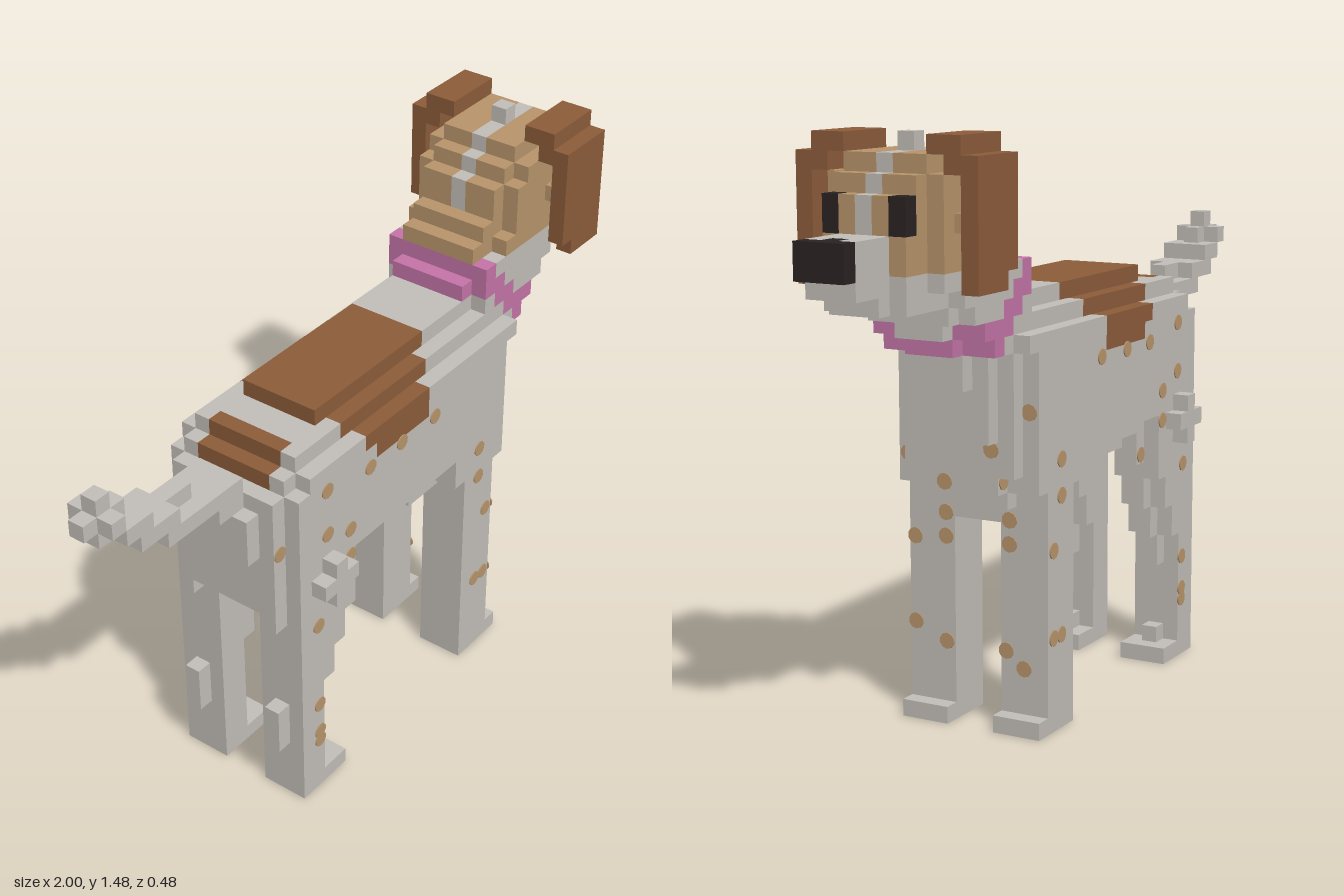
import * as THREE from 'three';

const V = 2 / 46; // size of one cube; the grid is 46 long, 34 high and 11 wide
const mat = (name, color) => {
  const m = new THREE.MeshStandardMaterial({ color });
  m.name = name;
  return m;
};

export function createModel() {
  const group = new THREE.Group();
  group.name = 'dog';
  const mats = {
    coat: mat('pale grey coat', 0xc2beb8),
    brown: mat('brown fur', 0x8c5c3a),
    tan: mat('tan fur', 0xb8956b),
    pink: mat('pink collar', 0xc474a8),
    black: mat('black nose and eyes', 0x2a2222),
  };

  // Cube grid: each filled cell keeps its part and colour
  const cells = new Map();
  const key = (x, y, z) => x + ',' + y + ',' + z;
  const fill = (part, color, x0, x1, y0, y1, z0, z1) => {
    for (let x = x0; x <= x1; x++)
      for (let y = y0; y <= y1; y++)
        for (let z = z0; z <= z1; z++) cells.set(key(x, y, z), { part, color, x, y, z });
  };
  const mid = (part, color, x0, x1, y0, y1, h) => fill(part, color, x0, x1, y0, y1, -h, h);
  const pair = (part, color, x0, x1, y0, y1, z0, z1) => {
    fill(part, color, x0, x1, y0, y1, z0, z1);
    fill(part, color, x0, x1, y0, y1, -z1, -z0);
  };
  const paint = (color, test, part) => {
    for (const c of cells.values())
      if (test(c)) {
        c.color = color;
        if (part) c.part = part;
      }
  };

  // Tail: x range, y range, half width
  [[0, 0, 25, 25, 0], [1, 1, 25, 25, 1], [1, 1, 24, 26, 0], [2, 2, 24, 24, 1], [2, 2, 25, 25, 0],
    [3, 3, 23, 24, 1], [4, 7, 23, 23, 0], [4, 5, 23, 23, 1], [5, 10, 22, 22, 1], [9, 11, 21, 21, 1]]
    .forEach(([a, b, c, d, h]) => mid('tail', 'coat', a, b, c, d, h));

  // Trunk and chest, stacked from the breastbone up
  [[26, 30, 12, 12, 1], [25, 31, 13, 13, 2], [17, 32, 14, 14, 2], [12, 32, 15, 15, 3],
    [12, 31, 16, 21, 4], [32, 32, 15, 22, 3], [11, 11, 14, 21, 3], [10, 10, 18, 20, 2],
    [33, 33, 17, 21, 2], [34, 34, 20, 21, 1], [13, 32, 22, 22, 4], [12, 12, 22, 22, 3],
    [13, 32, 23, 23, 3], [16, 31, 24, 24, 2]]
    .forEach(([a, b, c, d, h]) => mid('body', 'coat', a, b, c, d, h));

  // Neck, stepping forward as it rises
  [[31, 34, 22, 22, 3], [35, 35, 22, 22, 1], [31, 35, 23, 23, 3], [36, 36, 23, 23, 1],
    [31, 36, 24, 24, 3], [37, 37, 24, 24, 2], [31, 37, 25, 25, 3], [38, 38, 25, 25, 2],
    [30, 30, 25, 25, 2], [31, 39, 26, 26, 3]]
    .forEach(([a, b, c, d, h]) => mid('neck', 'coat', a, b, c, d, h));

  // Legs
  pair('frontLeg', 'coat', 28, 30, 0, 16, 2, 4);
  pair('frontLeg', 'coat', 31, 31, 0, 0, 2, 4);
  pair('frontLeg', 'coat', 27, 31, 14, 15, 3, 4);
  pair('hindLeg', 'coat', 12, 15, 0, 0, 2, 4);
  pair('hindLeg', 'coat', 12, 13, 1, 9, 2, 4);
  [[14, 14, 1, 1], [11, 11, 4, 6], [14, 14, 6, 7], [15, 15, 8, 9], [16, 16, 10, 11], [11, 11, 13, 14], [17, 17, 13, 14]]
    .forEach(([a, b, c, d]) => pair('hindLeg', 'coat', a, b, c, d, 3, 3));
  pair('hindLeg', 'coat', 14, 14, 8, 9, 2, 4);
  pair('hindLeg', 'coat', 12, 15, 10, 11, 2, 4);
  pair('hindLeg', 'coat', 12, 16, 12, 16, 2, 4);
  pair('hindLeg', 'coat', 13, 15, 15, 15, 5, 5);
  pair('hindLeg', 'coat', 14, 14, 14, 16, 5, 5);

  // Head
  [[31, 32, 27, 27, 2], [32, 33, 28, 28, 2], [33, 33, 27, 27, 3], [33, 33, 29, 30, 2], [34, 39, 27, 30, 3],
    [34, 34, 31, 31, 2], [35, 39, 31, 31, 3], [35, 39, 32, 32, 2], [40, 40, 27, 31, 2], [41, 41, 27, 30, 2]]
    .forEach(([a, b, c, d, h]) => mid('head', 'tan', a, b, c, d, h));
  pair('head', 'tan', 37, 38, 29, 29, 4, 4);
  mid('head', 'coat', 37, 37, 33, 33, 0);
  mid('muzzle', 'coat', 39, 41, 25, 26, 2);
  mid('muzzle', 'coat', 42, 44, 26, 28, 1);
  mid('muzzle', 'coat', 42, 42, 25, 25, 1);
  mid('nose', 'black', 45, 45, 27, 28, 1);
  mid('nose', 'black', 44, 44, 28, 28, 0);
  pair('eye', 'black', 41, 41, 29, 30, 2, 2);

  // Hanging ears
  pair('ear', 'brown', 36, 39, 33, 33, 3, 4);
  pair('ear', 'brown', 36, 39, 32, 32, 4, 4);
  pair('ear', 'brown', 36, 39, 27, 32, 5, 5);
  pair('ear', 'brown', 37, 39, 26, 26, 5, 5);

  // Saddle, rump patch, blaze and slanted collar
  paint('brown', c => c.part === 'body' && c.y >= 21 && ((c.x - 20.5) / 5.2) ** 2 + (c.z / 5.2) ** 2 < 1
    && (c.y > 21 || Math.abs(c.x - 21) < 3), 'saddle');
  paint('brown', c => c.part === 'body' && c.y >= 22 && c.x < 14 && Math.abs(c.z) < 3, 'rumpPatch');
  paint('coat', c => c.part === 'head' && c.z === 0 && c.x > 32 && c.y > 28);
  paint('pink', c => {
    const d = c.y + 0.75 * (c.x - 30);
    return c.part === 'neck' && d >= 25 && d < 27;
  }, 'collar');

  // Outer faces only: normal and two edge directions with u x v = n
  const dirs = [];
  for (let a = 0; a < 3; a++)
    for (const s of [1, -1]) {
      const n = [0, 0, 0], u = [0, 0, 0], v = [0, 0, 0];
      n[a] = s;
      u[(a + 1) % 3] = 1;
      v[(a + 2) % 3] = s;
      dirs.push({ n, u, v });
    }
  const parts = new Map();
  for (const c of cells.values()) {
    const id = c.part + '|' + c.color;
    if (!parts.has(id)) parts.set(id, { ...c, pos: [], nor: [] });
    const out = parts.get(id), centre = [c.x - 22.5, c.y + 0.5, c.z];
    for (const { n, u, v } of dirs) {
      if (cells.has(key(c.x + n[0], c.y + n[1], c.z + n[2]))) continue;
      for (const [p, q] of [[-1, -1], [1, -1], [1, 1], [-1, -1], [1, 1], [-1, 1]]) {
        for (let i = 0; i < 3; i++) out.pos.push((centre[i] + (n[i] + p * u[i] + q * v[i]) / 2) * V);
        out.nor.push(...n);
      }
    }
  }
  for (const p of parts.values()) {
    const g = new THREE.BufferGeometry();
    g.setAttribute('position', new THREE.Float32BufferAttribute(p.pos, 3));
    g.setAttribute('normal', new THREE.Float32BufferAttribute(p.nor, 3));
    const mesh = new THREE.Mesh(g, mats[p.color]);
    mesh.name = p.part;
    group.add(mesh);
  }

  // Tan freckles: thin discs resting on the outermost cube
  const disc = new THREE.CylinderGeometry(0.021, 0.021, 0.004, 10).rotateX(Math.PI / 2);
  const freckle = (x, y, z, turn) => {
    const m = new THREE.Mesh(disc, mats.tan);
    m.name = 'freckle';
    m.position.set(x, y, z);
    m.rotation.y = turn;
    group.add(m);
  };
  const flank = [[-0.37, 0.93], [-0.2, 0.9], [-0.07, 0.9], [0.07, 0.9], [-0.5, 0.8], [-0.37, 0.8], [-0.28, 0.76],
    [-0.28, 0.68], [-0.24, 0.59], [0.07, 0.63], [0.28, 0.68], [0.28, 0.59], [0.41, 0.64], [0.32, 0.46],
    [0.28, 0.24], [0.32, 0.24], [-0.41, 0.54], [-0.41, 0.28], [-0.41, 0.19], [-0.41, 0.16]];
  for (const [x, y] of flank)
    for (const s of [1, -1]) {
      let k = 5;
      while (k > 0 && !cells.has(key(Math.floor((x + 1) / V), Math.floor(y / V), k * s))) k--;
      if (k) freckle(x, y, s * ((k + 0.5) * V + 0.001), 0);
    }
  const chest = [[0.18, 0.46], [0.09, 0.53], [0.09, 0.47], [-0.09, 0.53], [-0.09, 0.47], [0.18, 0.24], [0.09, 0.2],
    [-0.08, 0.2], [-0.13, 0.16], [-0.09, 0.72], [0.17, 0.68], [0.04, 0.63], [-0.17, 0.81]];
  for (const [z, y] of chest) {
    let i = 35;
    while (i > 0 && !cells.has(key(i, Math.floor(y / V), Math.round(z / V)))) i--;
    freckle((i + 1) * V - 1 + 0.001, y, z, Math.PI / 2);
  }
  return group;
}
